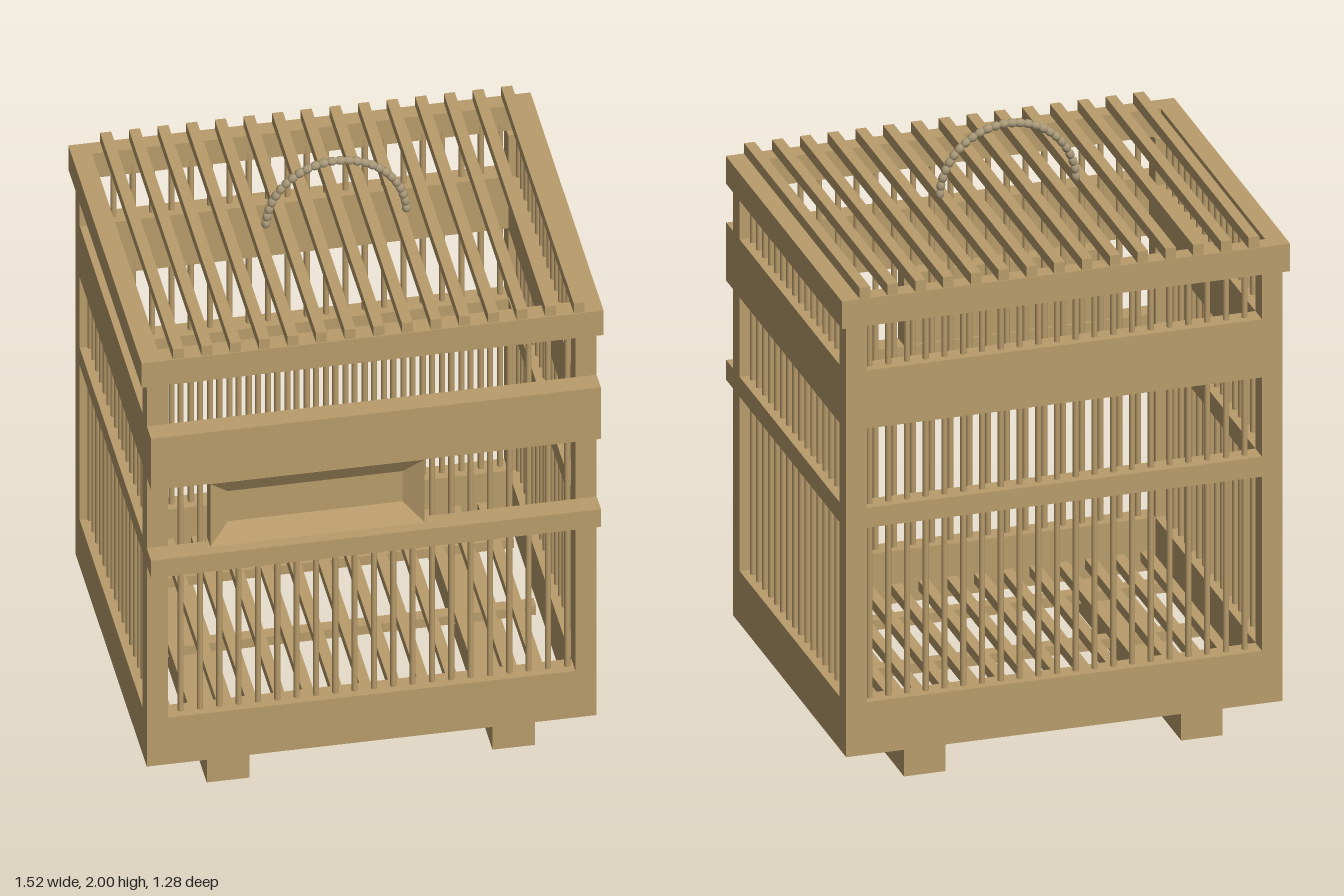
import * as THREE from 'three';

const wood = new THREE.MeshStandardMaterial({ color: 0xb99c6b });
wood.name = 'bamboo';
const cord = new THREE.MeshStandardMaterial({ color: 0xa89878 });
cord.name = 'handle cane';

// Outer body limits
const X = 0.74, ZF = 0.573, ZB = -0.623, T = 0.07;
const ZMID = (ZF + ZB) / 2;

// Box given by its minimum and maximum on each axis
function bar(parent, name, x0, x1, y0, y1, z0, z1) {
  const mesh = new THREE.Mesh(new THREE.BoxGeometry(x1 - x0, y1 - y0, z1 - z0), wood);
  mesh.position.set((x0 + x1) / 2, (y0 + y1) / 2, (z0 + z1) / 2);
  mesh.name = name;
  parent.add(mesh);
}

function section(root, name) {
  const g = new THREE.Group();
  g.name = name;
  root.add(g);
  return g;
}

// Shallow tray with a sloped recess, built from rectangular rings
function trayGeometry(x0, x1, y0, y1) {
  const ring = (inset, z) => [
    [x0 + inset, y0 + inset, z], [x1 - inset, y0 + inset, z],
    [x1 - inset, y1 - inset, z], [x0 + inset, y1 - inset, z],
  ];
  const rings = [ring(0, 0.56), ring(0, 0.62), ring(0.065, 0.58)];
  const pos = [];
  const quad = (a, b, c, d) => pos.push(...a, ...b, ...c, ...a, ...c, ...d);
  for (let r = 0; r < 2; r++) {
    for (let i = 0; i < 4; i++) {
      const j = (i + 1) % 4;
      quad(rings[r][i], rings[r][j], rings[r + 1][j], rings[r + 1][i]);
    }
  }
  quad(...rings[2]);
  quad(...[...rings[0]].reverse());
  const geo = new THREE.BufferGeometry();
  geo.setAttribute('position', new THREE.Float32BufferAttribute(pos, 3));
  geo.computeVertexNormals();
  return geo;
}

export function createModel() {
  const root = new THREE.Group();
  root.name = 'cage';

  // Two runners under the floor
  const feet = section(root, 'feet');
  for (const s of [-1, 1]) bar(feet, 'foot', s * 0.47 - 0.07, s * 0.47 + 0.07, 0, 0.1, -0.61, 0.56);

  // Corner posts
  const frame = section(root, 'frame');
  for (const x of [-X, X - T]) {
    for (const z of [ZB, ZF - T]) bar(frame, 'cornerPost', x, x + T, 0.1, 1.62, z, z + T);
  }

  // Base boards and the two belts; the front belts stand proud of the posts
  for (const [name, y0, y1, proud] of [
    ['baseBoard', 0.1, 0.285, false],
    ['lowerBelt', 0.9, 0.97, true],
    ['upperBelt', 1.25, 1.455, true],
  ]) {
    for (const x of [-X, X - T]) bar(frame, name + 'Side', x, x + T, y0, y1, ZB + T, ZF - T);
    bar(frame, name + 'Back', -X + T, X - T, y0, y1, ZB, ZB + T);
    if (proud) bar(frame, name + 'Front', -X, X, y0, y1, ZF, 0.645);
    else bar(frame, name + 'Front', -X + T, X - T, y0, y1, ZF - T, ZF);
  }

  // Top rim
  bar(frame, 'rimFront', -0.76, 0.76, 1.62, 1.717, 0.52, 0.587);
  bar(frame, 'rimBack', -0.76, 0.76, 1.62, 1.717, -0.64, -0.58);
  for (const s of [-1, 1]) bar(frame, 'rimSide', s * 0.727 - 0.033, s * 0.727 + 0.033, 1.62, 1.717, -0.58, 0.52);

  // Roof slats with matching floor slats
  const slats = section(root, 'slats');
  for (let i = 0; i < 15; i++) {
    const x = -0.638 + i * 0.0942;
    bar(slats, 'roofSlat', x - 0.018, x + 0.018, 1.717, 1.755, -0.637, 0.583);
    if (i < 14) bar(slats, 'floorSlat', x - 0.018, x + 0.018, 0.135, 0.17, ZB + T, ZF - T);
  }
  for (const z of [-0.405, -0.03, 0.34]) {
    bar(slats, 'floorCrossbar', -0.655, 0.655, 0.1, 0.135, z - 0.022, z + 0.022);
  }

  // Round wall rods
  const rods = section(root, 'rods');
  const rodGeo = new THREE.CylinderGeometry(0.01, 0.01, 1.4, 10);
  const rod = (x, z) => {
    const m = new THREE.Mesh(rodGeo, wood);
    m.name = 'rod';
    m.position.set(x, 0.95, z);
    rods.add(m);
  };
  for (let i = 0; i < 21; i++) {
    for (const z of [ZF - T / 2, ZB + T / 2]) rod(-0.622 + i * 0.0636, z);
  }
  for (let i = 0; i < 17; i++) {
    for (const s of [-1, 1]) rod(s * (X - T / 2), 0.469 - i * 0.0636);
  }

  // Front tray
  const tray = new THREE.Mesh(trayGeometry(-0.54, 0.165, 0.98, 1.23), wood);
  tray.name = 'frontTray';
  root.add(tray);

  // Arched handle made of barrel-shaped joints
  const handle = section(root, 'handle');
  const count = 26, R = 0.231, len = Math.PI * R / count;
  const profile = [[0.009, -0.5], [0.0135, -0.3], [0.0145, 0], [0.0135, 0.3], [0.009, 0.5]]
    .map(([r, t]) => new THREE.Vector2(r, t * len * 1.02));
  const jointGeo = new THREE.LatheGeometry(profile, 12);
  for (let i = 0; i < count; i++) {
    const a = (i + 0.5) / count * Math.PI;
    const m = new THREE.Mesh(jointGeo, cord);
    m.name = 'handleJoint';
    m.position.set(R * Math.cos(a), 1.755 + R * Math.sin(a), ZMID);
    m.rotation.z = a;
    handle.add(m);
  }

  return root;
}
